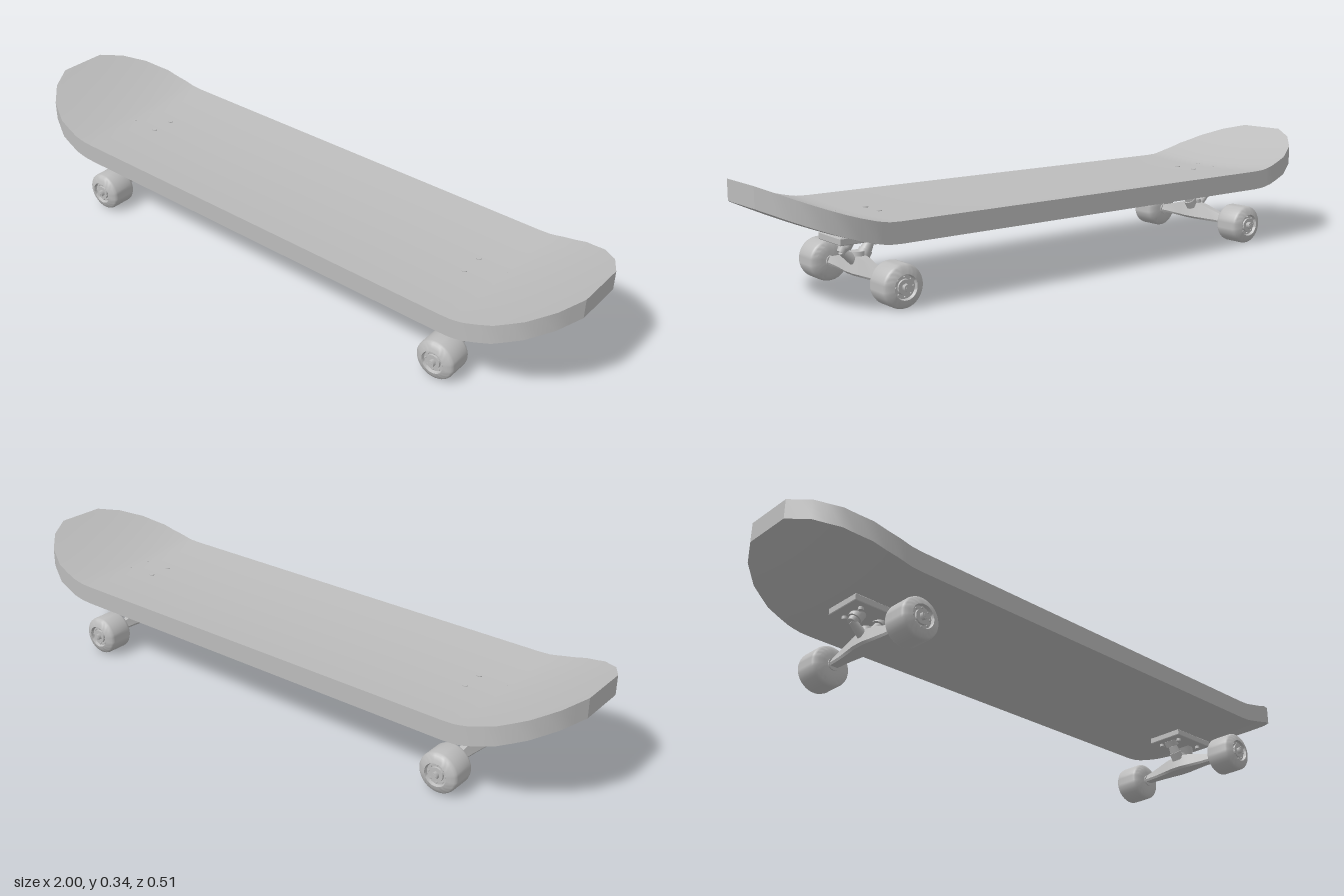
import * as THREE from 'three';
import { toCreasedNormals } from 'three/addons/utils/BufferGeometryUtils.js';

const grey = new THREE.MeshStandardMaterial({ color: 0xbcbcbc });
grey.name = 'light grey';

function add(parent, name, geometry, x = 0, y = 0, z = 0) {
  const mesh = new THREE.Mesh(geometry, grey);
  mesh.name = name;
  mesh.position.set(x, y, z);
  parent.add(mesh);
  return mesh;
}

// Skins a row of equal-length closed loops and caps both ends.
function loft(loops, crease) {
  const n = loops[0].length, last = (loops.length - 1) * n, index = [];
  for (let i = 0; i < loops.length - 1; i++) {
    for (let j = 0; j < n; j++) {
      const k = (j + 1) % n, a = i * n + j, b = i * n + k;
      index.push(a, b, b + n, a, b + n, a + n);
    }
  }
  for (let j = 1; j < n - 1; j++) {
    index.push(0, j + 1, j, last, last + j, last + j + 1);
  }
  const geometry = new THREE.BufferGeometry();
  geometry.setAttribute('position', new THREE.Float32BufferAttribute(loops.flat(2), 3));
  geometry.setIndex(index);
  return toCreasedNormals(geometry, crease);
}

// Dished board with kicked-up, rounded ends.
function deckGeometry() {
  const R = 0.256, start = 0.755;
  const outline = [[0, R], [0.35, R], [0.68, R], [0.715, R]];
  for (let i = 0; i <= 4; i++) {
    const a = i * Math.PI / 10;
    const p = [i === 4 ? 1 : start + R * Math.sin(a), R * Math.cos(a)];
    const q = outline[outline.length - 1];
    outline.push([(p[0] + q[0]) / 2, (p[1] + q[1]) / 2], p);
  }
  const mirrored = outline.slice(1).reverse().map(([x, w]) => [-x, w]);
  const across = 12;
  const loops = [...mirrored, ...outline].map(([x, w]) => {
    const t = Math.max(0, (Math.abs(x) - 0.7) / 0.3);
    const rise = 0.102 * Math.pow(t, 1.4);
    const point = (u, base) =>
      [x, base + rise - 0.012 * (1 - t) * (1 - u * u), u * w];
    const loop = [];
    for (let j = 0; j <= across; j++) loop.push(point(1 - 2 * j / across, 0.181));
    for (let j = 0; j <= across; j++) loop.push(point(2 * j / across - 1, 0.24));
    return loop;
  });
  return loft(loops, 0.4);
}

// Axle housing, tall in the middle and slim towards the wheels.
function hangerGeometry() {
  const half = [[0.155, 0.074, 0.015], [0.1, 0.088, 0.018], [0.05, 0.101, 0.025], [0.02, 0.105, 0.03]];
  const sections = [
    ...half.map(([z, t, w]) => [-z, t, w]),
    ...half.slice().reverse()
  ];
  return loft(sections.map(([z, t, w]) => [
    [-w * 0.8, 0.053, z], [w * 0.8, 0.053, z], [w, 0.06, z],
    [w * 0.5, t, z], [-w * 0.5, t, z], [-w, 0.06, z]
  ]), 0.5);
}

// Cylinder between two points.
function rod(parent, name, a, b, r0, r1 = r0, sides = 20) {
  const from = new THREE.Vector3(...a), dir = new THREE.Vector3(...b).sub(from);
  const mesh = add(parent, name, new THREE.CylinderGeometry(r1, r0, dir.length(), sides));
  mesh.position.copy(from).addScaledVector(dir, 0.5);
  mesh.quaternion.setFromUnitVectors(new THREE.Vector3(0, 1, 0), dir.normalize());
  return mesh;
}

// Rounded tyre with a recessed hub; local +y is the outer side.
const wheelProfile = [
  [0, -0.049], [0.03, -0.049], [0.045, -0.046], [0.055, -0.041], [0.0595, -0.036], [0.061, -0.03],
  [0.061, 0.03], [0.0595, 0.036], [0.055, 0.041], [0.045, 0.046], [0.035, 0.049],
  [0.032, 0.04], [0.022, 0.04], [0.021, 0.045], [0, 0.045]
].map(([r, y]) => new THREE.Vector2(r, y));
const wheelGeometry = toCreasedNormals(new THREE.LatheGeometry(wheelProfile, 40), 0.6);

function makeWheel(side) {
  const wheel = new THREE.Group();
  wheel.name = 'wheel';
  wheel.position.set(0, 0.061, side * 0.199);
  wheel.rotation.x = side * Math.PI / 2;
  add(wheel, 'tyre', wheelGeometry);
  add(wheel, 'axleNut', new THREE.CylinderGeometry(0.011, 0.011, 0.014, 6), 0, 0.05, 0);
  add(wheel, 'axleTip', new THREE.CylinderGeometry(0.006, 0.006, 0.02, 12), 0, 0.048, 0);
  for (let i = 0; i < 8; i++) {
    const a = i * Math.PI / 4;
    add(wheel, 'hubStud', new THREE.CylinderGeometry(0.003, 0.003, 0.006, 8),
      0.027 * Math.cos(a), 0.041, 0.027 * Math.sin(a));
  }
  add(wheel, 'innerWasher', new THREE.CylinderGeometry(0.018, 0.018, 0.006, 20), 0, -0.05, 0);
  return wheel;
}

// Truck assembly; local +x points to the end of the board.
function makeTruck() {
  const truck = new THREE.Group();
  truck.name = 'truck';

  // Mounting plate with bevelled rim
  const plate = new THREE.Shape();
  const w = 0.078, h = 0.056;
  plate.moveTo(-w, -h).lineTo(w, -h).lineTo(w, h).lineTo(-w, h).closePath();
  const plateGeometry = new THREE.ExtrudeGeometry(plate, {
    depth: 0.016, bevelThickness: 0.003, bevelSize: 0.005, bevelSegments: 2
  });
  plateGeometry.rotateX(-Math.PI / 2);
  add(truck, 'basePlate', plateGeometry, 0.003, 0.153, 0);

  // Four mounting bolts through the deck
  for (const x of [-0.05, 0.05]) {
    for (const z of [-0.037, 0.037]) {
      add(truck, 'mountingNut', new THREE.CylinderGeometry(0.008, 0.008, 0.012, 6), x, 0.147, z);
      add(truck, 'boltHead', new THREE.CylinderGeometry(0.008, 0.008, 0.006, 14), x, 0.2275, z);
    }
  }

  // Pivot and kingpin with bushings
  rod(truck, 'pivotCup', [0.03, 0.155, 0], [0.043, 0.13, 0], 0.022, 0.02);
  rod(truck, 'pivot', [0.043, 0.132, 0], [0.052, 0.118, 0], 0.015, 0.013);
  rod(truck, 'kingpinSeat', [-0.048, 0.155, 0], [-0.038, 0.137, 0], 0.023, 0.021);
  rod(truck, 'upperBushing', [-0.038, 0.137, 0], [-0.026, 0.117, 0], 0.014, 0.017);
  rod(truck, 'lowerBushing', [-0.026, 0.117, 0], [-0.012, 0.095, 0], 0.02);
  rod(truck, 'pivotArm', [0.05, 0.122, 0], [0.01, 0.09, 0], 0.011, 0.016);
  add(truck, 'hangerCollar', new THREE.CylinderGeometry(0.02, 0.022, 0.016, 20), 0, 0.109, 0);

  add(truck, 'hanger', hangerGeometry());
  for (const side of [-1, 1]) truck.add(makeWheel(side));
  return truck;
}

export function createModel() {
  const model = new THREE.Group();
  model.name = 'skateboard';
  add(model, 'deck', deckGeometry());
  for (const end of [-1, 1]) {
    const truck = makeTruck();
    truck.position.x = end * 0.665;
    if (end < 0) truck.rotation.y = Math.PI;
    model.add(truck);
  }
  return model;
}
